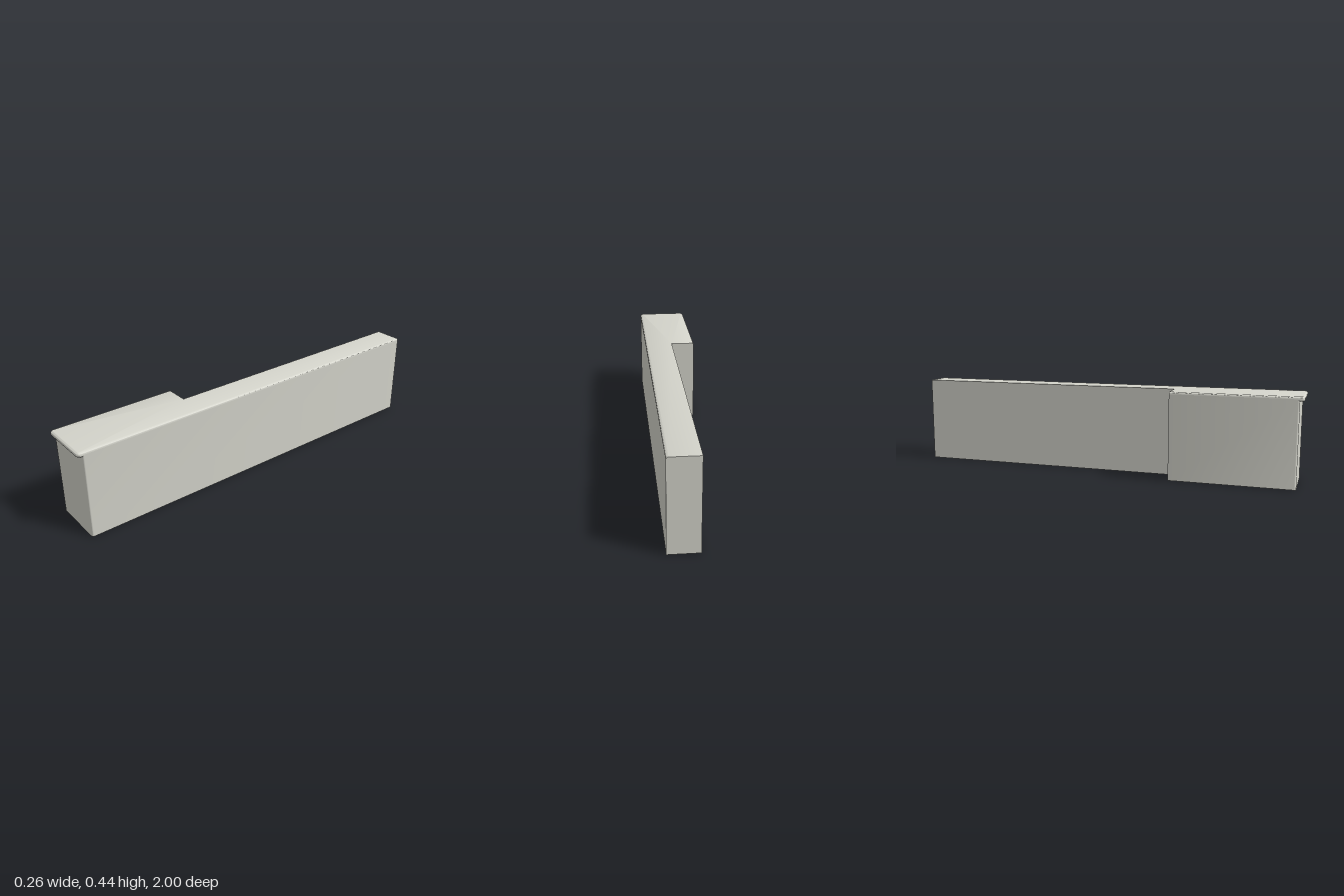
import * as THREE from 'three';
import { toCreasedNormals } from 'three/addons/utils/BufferGeometryUtils.js';

const HALF_WIDTH = 0.1325;
const NOTCH_X = -0.01, NOTCH_Z = 0.37;

// Counter-clockwise plan in (x, -z): a notched slab with two rounded front corners.
// The inset moves only the two outer sides and the front inwards.
function outline(front, radius, inset) {
  const points = [
    new THREE.Vector2(HALF_WIDTH - inset, 1),
    new THREE.Vector2(NOTCH_X, 1),
    new THREE.Vector2(NOTCH_X, -NOTCH_Z),
    new THREE.Vector2(-HALF_WIDTH + inset, -NOTCH_Z),
  ];
  const steps = 6, r = radius - inset;
  for (const side of [-1, 1]) {
    for (let i = 0; i <= steps; i++) {
      const a = (side < 0 ? Math.PI : Math.PI * 1.5) + (i / steps) * Math.PI / 2;
      points.push(new THREE.Vector2(
        side * (HALF_WIDTH - radius) + r * Math.cos(a),
        -front + radius + r * Math.sin(a)));
    }
  }
  return points;
}

// Stack outlines into a closed solid; each level is [height, inset].
function loft(front, radius, levels) {
  const rings = levels.map(([, inset]) => outline(front, radius, inset));
  const count = rings[0].length, last = levels.length - 1;
  const positions = [], index = [];
  rings.forEach((ring, k) => ring.forEach(p => positions.push(p.x, levels[k][0], -p.y)));
  for (let k = 0; k < last; k++) {
    for (let j = 0; j < count; j++) {
      const n = (j + 1) % count;
      const a = k * count + j, b = k * count + n, c = b + count, d = a + count;
      index.push(a, b, c, a, c, d);
    }
  }
  for (const [a, b, c] of THREE.ShapeUtils.triangulateShape(rings[0], [])) index.push(a, c, b);
  for (const [a, b, c] of THREE.ShapeUtils.triangulateShape(rings[last], [])) {
    index.push(last * count + a, last * count + b, last * count + c);
  }
  const geometry = new THREE.BufferGeometry();
  geometry.setAttribute('position', new THREE.Float32BufferAttribute(positions, 3));
  geometry.setIndex(index);
  return toCreasedNormals(geometry, 0.6);
}

export function createModel() {
  const group = new THREE.Group();
  group.name = 'pianoKey';
  const ivory = new THREE.MeshStandardMaterial({ color: 0xd4d4cb });
  ivory.name = 'ivory';

  const lip = 0.0115, lipY = 0.4235;

  // Key body, set back from the lip
  const body = new THREE.Mesh(loft(0.977, 0.012, [[0, 0], [lipY, 0]]), ivory);
  body.name = 'keyBody';

  // Key top with a bullnose edge on the outer sides and front
  const levels = [];
  for (let i = 0; i <= 12; i++) {
    const a = (i / 12 - 0.5) * Math.PI;
    levels.push([lipY + lip * Math.sin(a), lip * (1 - Math.cos(a))]);
  }
  const top = new THREE.Mesh(loft(1, 0.02, levels), ivory);
  top.name = 'keyTop';

  group.add(body, top);
  return group;
}
